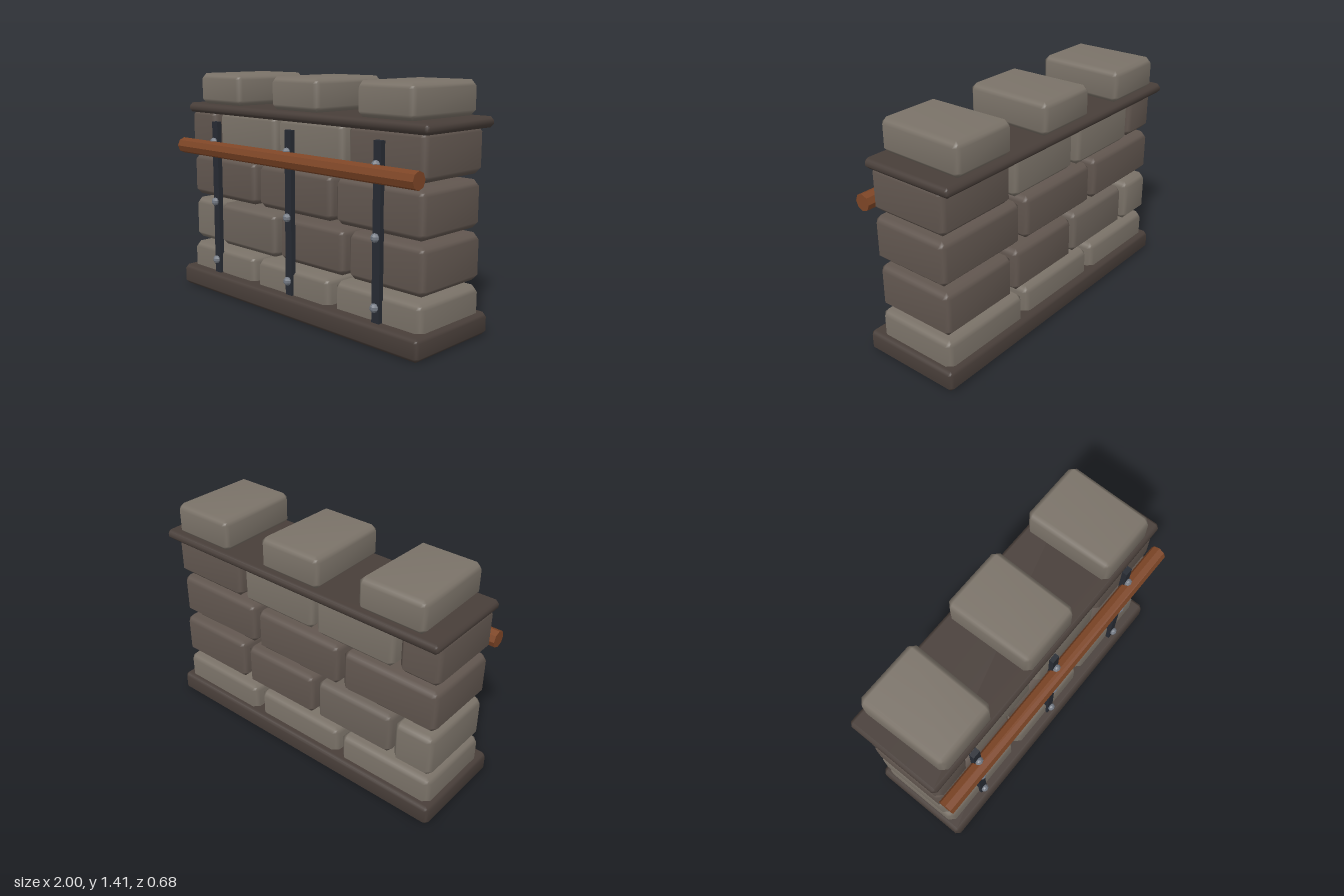
import * as THREE from 'three';
import { mergeVertices } from 'three/addons/utils/BufferGeometryUtils.js';

const mat = (color) => new THREE.MeshStandardMaterial({ color, roughness: 0.9 });
const flat = (color) => new THREE.MeshStandardMaterial({ color, flatShading: true });
const light = mat(0x7a7268), mid = mat(0x6b625a), dark = mat(0x61564f), slab = mat(0x483e39);
const iron = flat(0x272b33), steel = flat(0x737983), wood = flat(0x7d4526);

// Chamfered box; taper narrows the front end in x
function chamferBox(w, h, d, b, taper = 0) {
  let g = new THREE.BoxGeometry(1, 1, 1, 3, 3, 3);
  g.deleteAttribute('uv');
  g.deleteAttribute('normal');
  g = mergeVertices(g);
  const half = [w / 2, h / 2, d / 2], p = g.attributes.position;
  for (let i = 0; i < p.count; i++) {
    const v = [p.getX(i), p.getY(i), p.getZ(i)];
    const outer = v.filter((c) => Math.abs(c) > 0.4).length;
    const cut = b * (outer - 1) / outer;
    const [x, y, z] = v.map((c, k) => Math.sign(c) * (half[k] - (Math.abs(c) > 0.4 ? cut : b)));
    p.setXYZ(i, x * (1 - taper * (z / d + 0.5)), y, z);
  }
  g.computeVertexNormals();
  return g;
}

// Chamfered block given by its extents
function block(name, [x0, x1], [y0, y1], [z0, z1], bevel, material, taper) {
  const mesh = new THREE.Mesh(chamferBox(x1 - x0, y1 - y0, z1 - z0, bevel, taper), material);
  mesh.position.set((x0 + x1) / 2, (y0 + y1) / 2, (z0 + z1) / 2);
  mesh.name = name;
  return mesh;
}

export function createModel() {
  const model = new THREE.Group();
  model.name = 'battlementWall';

  // Base and cap slabs
  model.add(block('baseSlab', [-1, 1], [0, 0.13], [-0.32, 0.315], 0.024, slab));
  model.add(block('capSlab', [-0.985, 0.985], [1.155, 1.215], [-0.34, 0.25], 0.02, slab));

  // Staggered stone courses with open joints
  const thirds = [[-0.97, -0.345], [-0.315, 0.31], [0.34, 0.965]];
  const offset = [[-0.97, -0.715], [-0.69, -0.155], [-0.13, 0.405], [0.43, 0.965]];
  const courses = [
    { spans: thirds, y: [0.02, 0.287], z: [-0.28, 0.25], tones: [light, light, light] },
    { spans: offset, y: [0.315, 0.585], z: [-0.28, 0.235], tones: [light, mid, dark, dark] },
    { spans: thirds, y: [0.613, 0.88], z: [-0.275, 0.237], tones: [dark, dark, dark] },
    { spans: offset, y: [0.91, 1.175], z: [-0.28, 0.237], tones: [dark, light, light, dark] },
  ];
  const stones = new THREE.Group();
  stones.name = 'stoneCourses';
  courses.forEach(({ spans, y, z, tones }, row) => spans.forEach((x, i) => {
    const shift = 0.006 * Math.sin(row * 5 + i * 2.3);
    stones.add(block('stone', x, y, [z[0] + shift, z[1] + shift], 0.035, tones[i]));
  }));
  model.add(stones);

  // Three bays: merlon on top, iron strap and bolts in front
  for (const x of [-0.68, 0, 0.68]) {
    model.add(block('merlon', [x - 0.21, x + 0.21], [1.213, 1.408], [-0.322, 0.232], 0.033, light, 0.06));

    const strap = new THREE.Mesh(new THREE.BoxGeometry(0.052, 1.03, 0.032), iron);
    strap.position.set(x, 0.595, 0.254);
    strap.name = 'strap';
    model.add(strap);

    for (const y of [0.217, 0.6, 0.985]) {
      const bolt = new THREE.Mesh(new THREE.SphereGeometry(0.026, 8, 5), steel);
      bolt.scale.z = 0.85;
      bolt.position.set(x, y, 0.28);
      bolt.name = 'bolt';
      model.add(bolt);
    }
  }

  // Wooden rail across the straps
  const rail = new THREE.Mesh(new THREE.CylinderGeometry(0.05, 0.05, 1.955, 8), wood);
  rail.rotation.z = Math.PI / 2;
  rail.position.set(-0.002, 0.94, 0.295);
  rail.name = 'rail';
  model.add(rail);

  return model;
}
